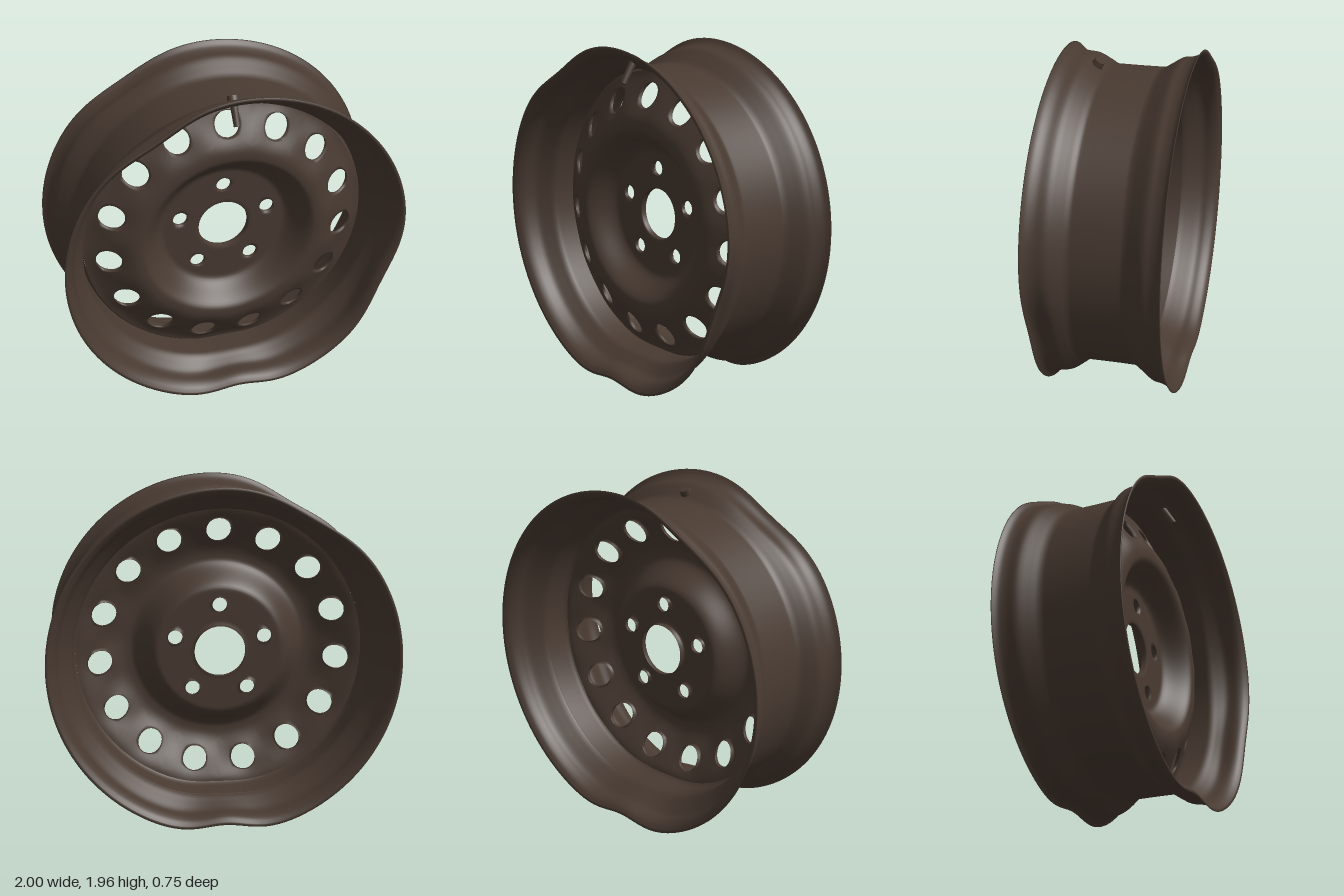
import * as THREE from 'three';
import { mergeVertices } from 'three/addons/utils/BufferGeometryUtils.js';

const S = THREE.MathUtils.smoothstep;
const TAU = Math.PI * 2;
const VENTS = 15, LUGS = 5, SEG = 120;
const VENT_RING = 0.705, LUG_RING = 0.275;

// Knocks in the rim: angle, depth, spread, share left in the well, front/back strength
const DENTS = [
  { a: -Math.PI / 2, depth: 0.06, spread: 0.14, well: 0.3, front: 1, back: 1 },
  { a: 2.1, depth: 0.05, spread: 0.2, well: 0, front: 1.1, back: 0.8 },
  { a: -0.38, depth: 0.055, spread: 0.22, well: 0, front: 1.1, back: 0 },
];

function dent(geo) {
  const p = geo.attributes.position;
  for (let i = 0; i < p.count; i++) {
    const x = p.getX(i), y = p.getY(i), z = p.getZ(i);
    const r = Math.hypot(x, y), a = Math.atan2(y, x);
    let push = 0;
    for (const d of DENTS) {
      const da = Math.atan2(Math.sin(a - d.a), Math.cos(a - d.a));
      const edge = S(Math.abs(z), 0.12, 0.375) * (z > 0 ? d.front : d.back);
      push += d.depth * Math.exp(-((da / d.spread) ** 2) / 2) * (d.well + (1 - d.well) * edge);
    }
    const k = 1 - push * S(r, 0.72, 0.85) / r;
    p.setXYZ(i, x * k, y * k, z);
  }
}

// Weld a geometry and give it smooth normals
function smooth(geo) {
  geo.deleteAttribute('uv');
  geo.deleteAttribute('normal');
  const g = mergeVertices(geo, 1e-4);
  g.computeVertexNormals();
  return g;
}

// Height of the pressed disc: flat hub, raised ridge, slope out to the rim
const discHeight = (r) => 0.02 + 0.145 * S(r, 0.36, 0.52) - 0.145 * S(r, 0.54, 0.86);

function discPoint(r, a) {
  let z = discHeight(r);
  // Flatten the metal a little around each vent
  const step = TAU / VENTS;
  const da = a - Math.PI / 2 - Math.round((a - Math.PI / 2) / step) * step;
  const dx = r * Math.cos(da) - VENT_RING, dy = r * Math.sin(da);
  const w = 0.4 * Math.exp(-(dx * dx + dy * dy) / 0.008);
  z += (discHeight(VENT_RING) - z) * w;
  return [r * Math.cos(a), r * Math.sin(a), z];
}

function buildDisc() {
  const pos = [];
  const quad = (a, b, c, d) => pos.push(...a, ...b, ...c, ...a, ...c, ...d);

  // Plain ring between two radii
  const ring = (r0, r1, n) => {
    for (let i = 0; i < n; i++) for (let j = 0; j < SEG; j++) {
      const ra = r0 + (r1 - r0) * i / n, rb = r0 + (r1 - r0) * (i + 1) / n;
      const a = Math.PI / 2 + TAU * j / SEG, b = a + TAU / SEG;
      quad(discPoint(ra, a), discPoint(rb, a), discPoint(rb, b), discPoint(ra, b));
    }
  };

  // Ring of equal sectors, each with a round hole and a turned-back lip
  const holedRing = (r0, r1, n, mid, hole, lip) => {
    const half = Math.PI / n, arc = SEG / n, side = 6, steps = 6;
    for (let s = 0; s < n; s++) {
      const c = Math.PI / 2 + s * half * 2;
      const edge = [];
      for (let i = 0; i < arc; i++) edge.push([r1, -half + 2 * half * i / arc]);
      for (let i = 0; i < side; i++) edge.push([r1 + (r0 - r1) * i / side, half]);
      for (let i = 0; i < arc; i++) edge.push([r0, half - 2 * half * i / arc]);
      for (let i = 0; i < side; i++) edge.push([r0 + (r1 - r0) * i / side, -half]);
      const at = ([r, a], t) => {
        const ex = r * Math.cos(a) - mid, ey = r * Math.sin(a), l = Math.hypot(ex, ey);
        const k = (hole + (l - hole) * Math.max(t, 0)) / l;
        const x = mid + ex * k, y = ey * k;
        const q = discPoint(Math.hypot(x, y), c + Math.atan2(y, x));
        if (t < 0) q[2] -= lip;
        return q;
      };
      for (let i = 0; i < edge.length; i++) {
        const e = edge[i], f = edge[(i + 1) % edge.length];
        for (let k = -1; k < steps; k++) {
          const t = k / steps, u = (k + 1) / steps;
          quad(at(e, t), at(e, u), at(f, u), at(f, t));
        }
      }
    }
  };

  // Sweep of (radius, z) pairs for the centre lip and the outer flange
  const sweep = (pts) => {
    for (let i = 0; i < pts.length - 1; i++) for (let j = 0; j < SEG; j++) {
      const a = Math.PI / 2 + TAU * j / SEG, b = a + TAU / SEG;
      const q = ([r, z], t) => [r * Math.cos(t), r * Math.sin(t), z];
      quad(q(pts[i], a), q(pts[i + 1], a), q(pts[i + 1], b), q(pts[i], b));
    }
  };

  sweep([[0.15, -0.015], [0.15, 0.012], [0.157, 0.02]]);
  ring(0.157, 0.2, 2);
  holedRing(0.2, 0.35, LUGS, LUG_RING, 0.043, 0.02);
  ring(0.35, 0.6, 20);
  holedRing(0.6, 0.81, VENTS, VENT_RING, 0.072, 0.02);
  ring(0.81, 0.84, 3);
  sweep([[0.84, discHeight(0.84)], [0.85, 0.01], [0.855, -0.01], [0.855, -0.14], [0.862, -0.145]]);

  const geo = new THREE.BufferGeometry();
  geo.setAttribute('position', new THREE.Float32BufferAttribute(pos, 3));
  dent(geo);
  return smooth(geo);
}

function buildRim() {
  // Outer skin from back lip to front lip, then the inner skin back again
  const path = new THREE.SplineCurve([
    [1.0, -0.374], [0.973, -0.35], [0.955, -0.31], [0.945, -0.26], [0.905, -0.2],
    [0.873, -0.15], [0.868, -0.1], [0.868, 0.1], [0.873, 0.155], [0.905, 0.2],
    [0.94, 0.25], [0.953, 0.31], [0.973, 0.35], [1.0, 0.374],
  ].map(([r, z]) => new THREE.Vector2(r, z)));
  const outer = path.getPoints(52);
  const inner = outer.map((p) => new THREE.Vector2(p.x - 0.012, p.y)).reverse();
  const geo = new THREE.LatheGeometry([...outer, ...inner, outer[0].clone()], 160);
  geo.rotateX(Math.PI / 2);
  dent(geo);
  return smooth(geo);
}

export function createModel() {
  const steel = new THREE.MeshStandardMaterial({ color: 0x483a31, side: THREE.DoubleSide });
  steel.name = 'dark brown steel';

  const wheel = new THREE.Group();
  wheel.name = 'dentedWheel';
  const add = (name, geo, parent = wheel) => {
    const m = new THREE.Mesh(geo, steel);
    m.name = name;
    parent.add(m);
    return m;
  };

  add('rim', buildRim());
  add('disc', buildDisc());

  // Valve set square to the sloping bead seat
  const valve = new THREE.Group();
  valve.name = 'valve';
  valve.position.set(0, 0.905, 0.195);
  valve.rotation.x = -0.55;
  add('valveBase', new THREE.CylinderGeometry(0.03, 0.035, 0.04, 20), valve).position.y = 0.008;
  add('valveStem', new THREE.CylinderGeometry(0.022, 0.018, 0.14, 16), valve).position.y = -0.07;
  wheel.add(valve);

  wheel.position.y = 0.963;
  const model = new THREE.Group();
  model.name = 'wheelModel';
  model.add(wheel);
  return model;
}
